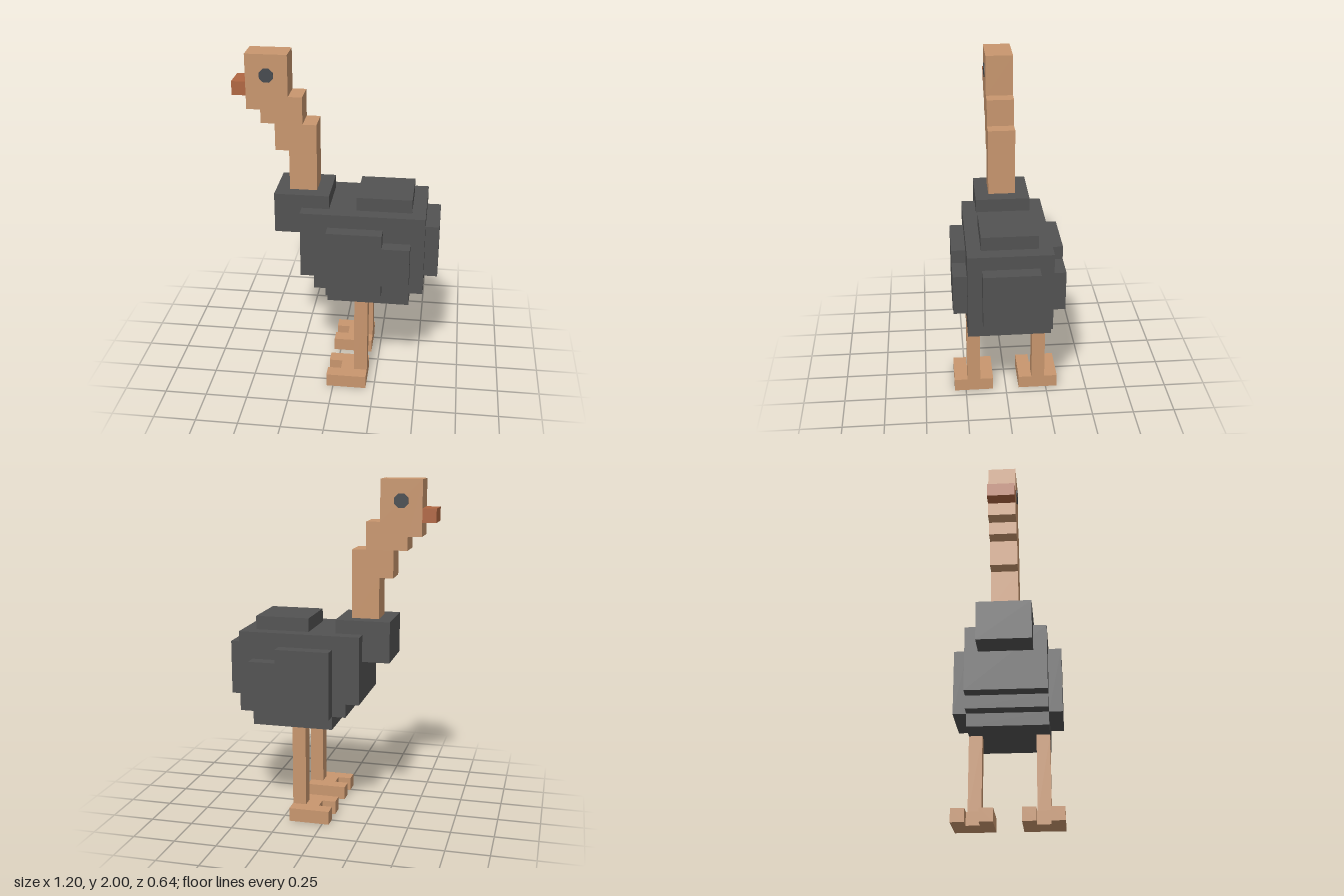
import * as THREE from 'three';

const V = 0.08; // block unit

const mat = (name, color) => {
  const m = new THREE.MeshStandardMaterial({ color });
  m.name = name;
  return m;
};

export function createModel() {
  const plumage = mat('dark grey plumage', 0x525252);
  const skin = mat('tan skin', 0xc8966e);
  const horn = mat('rust beak', 0xb06641);
  const iris = mat('slate eye', 0x464a4e);

  const bird = new THREE.Group();
  bird.name = 'bird';

  const add = (name, geometry, material, parent = bird) => {
    const mesh = new THREE.Mesh(geometry, material);
    mesh.name = name;
    parent.add(mesh);
    return mesh;
  };

  // Box between two corners, in block units
  const block = (name, material, [x0, x1], [y0, y1], [z0, z1], parent) =>
    add(name, new THREE.BoxGeometry((x1 - x0) * V, (y1 - y0) * V, (z1 - z0) * V), material, parent)
      .position.set((x0 + x1) * V / 2, (y0 + y1) * V / 2, (z0 + z1) * V / 2);

  // Stepped outline in the xy plane, extruded from z0 to z1, in block units
  const slab = (points, z0, z1) => {
    const shape = new THREE.Shape(points.map(([x, y]) => new THREE.Vector2(x * V, y * V)));
    return new THREE.ExtrudeGeometry(shape, { depth: (z1 - z0) * V, bevelEnabled: false })
      .translate(0, 0, z0 * V);
  };

  // Body, stepped at the belly
  add('body', slab([
    [-0.5, 7], [5.5, 7], [5.5, 8], [6.5, 8], [6.5, 14], [-2.5, 14],
    [-2.5, 9], [-1.5, 9], [-1.5, 8], [-0.5, 8],
  ], -3, 3), plumage);
  block('chest', plumage, [-4.5, -0.5], [12, 15], [-2, 2]);
  block('back', plumage, [1.5, 5.5], [14, 15], [-2, 2]);
  block('tail', plumage, [6.5, 7.5], [9, 13], [-2, 2]);

  // Neck and head in one stepped outline
  add('neckAndHead', slab([
    [-3.5, 15], [-1.5, 15], [-1.5, 20], [-2.5, 20], [-2.5, 22], [-3.5, 22], [-3.5, 25],
    [-6.5, 25], [-6.5, 21], [-5.5, 21], [-5.5, 20], [-4.5, 20], [-4.5, 18], [-3.5, 18],
  ], -1, 1), skin);
  block('beak', horn, [-7.5, -6.5], [22, 23], [-1, 1]);

  // Wings, legs, feet and eyes on both sides
  const wing = [
    [-0.5, 8], [3.5, 8], [3.5, 9], [5.5, 9], [5.5, 12], [3.5, 12], [3.5, 13], [-0.5, 13],
  ];
  for (const s of [1, -1]) {
    const side = s > 0 ? 'front' : 'rear';
    add(`${side}Wing`, slab(wing, s > 0 ? 3 : -4, s > 0 ? 4 : -3), plumage);

    const leg = new THREE.Group();
    leg.name = `${side}Leg`;
    leg.position.z = s * 2.5 * V;
    bird.add(leg);
    block('shin', skin, [1.5, 2.5], [1, 7], [-0.5, 0.5], leg);
    // Foot with a notch between the two toes
    const foot = slab([
      [-0.5, -1.5], [2.5, -1.5], [2.5, 1.5], [-0.5, 1.5],
      [-0.5, 0.5], [0.5, 0.5], [0.5, -0.5], [-0.5, -0.5],
    ], 0, 1).rotateX(-Math.PI / 2);
    add('foot', foot, skin, leg);

    // Thin eight-sided eye
    const eye = add(`${side}Eye`, new THREE.CylinderGeometry(0.043, 0.043, 0.006, 8)
      .rotateY(Math.PI / 8).rotateX(Math.PI / 2), iris);
    eye.position.set(-5 * V, 23.5 * V, s * (V + 0.002));
  }
  return bird;
}
